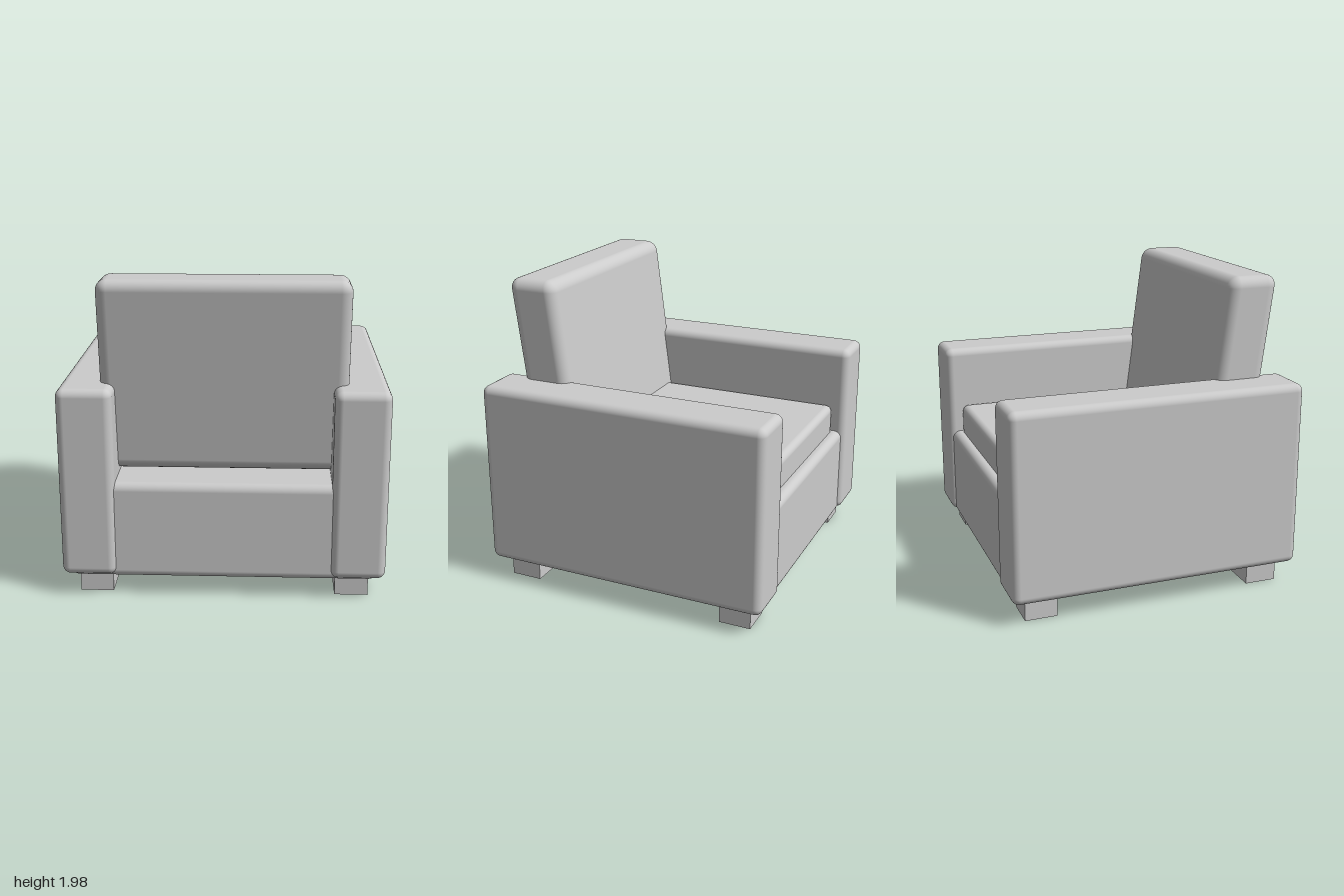
import * as THREE from 'three';
import { RoundedBoxGeometry } from 'three/addons/geometries/RoundedBoxGeometry.js';

const material = new THREE.MeshStandardMaterial({ color: 0xcccccc });

// Padded block given by its extents [min, max] on each axis
function block(name, x, y, z, radius) {
  const size = [x, y, z].map(([a, b]) => b - a);
  const geometry = radius
    ? new RoundedBoxGeometry(...size, 5, radius)
    : new THREE.BoxGeometry(...size);
  const mesh = new THREE.Mesh(geometry, material);
  mesh.name = name;
  mesh.position.set(...[x, y, z].map(([a, b]) => (a + b) / 2));
  return mesh;
}

export function createModel() {
  const armchair = new THREE.Group();
  armchair.name = 'armchair';

  // Base and loose seat cushion; the seat opens towards -z
  armchair.add(block('base', [-0.95, 0.95], [0.125, 0.745], [-0.917, 0.917], 0.05));
  armchair.add(block('seatCushion', [-0.663, 0.663], [0.7, 0.94], [-0.85, 0.6], 0.045));

  // Backrest: leans back by a shear, so its top and bottom stay level
  const back = block('backrest', [-0.755, 0.755], [0.765, 1.98], [0.469, 0.794], 0.07);
  back.geometry.applyMatrix4(new THREE.Matrix4().set(
    1, 0, 0, 0,
    0, 1, 0, 0,
    0, 0.13, 1, 0,
    0, 0, 0, 1,
  ));
  armchair.add(back);

  for (const side of [-1, 1]) {
    const label = side > 0 ? 'left' : 'right';

    // Armrest
    const arm = block(label + 'Armrest', [0.661, 1], [0.145, 1.34], [-0.945, 0.945], 0.05);
    arm.position.x *= side;
    armchair.add(arm);

    // Square feet
    for (const end of [-1, 1]) {
      const foot = block(label + (end > 0 ? 'Rear' : 'Front') + 'Foot',
        [0.695, 0.902], [0, 0.16], [0.643, 0.848]);
      foot.position.x *= side;
      foot.position.z *= end;
      armchair.add(foot);
    }
  }
  return armchair;
}
